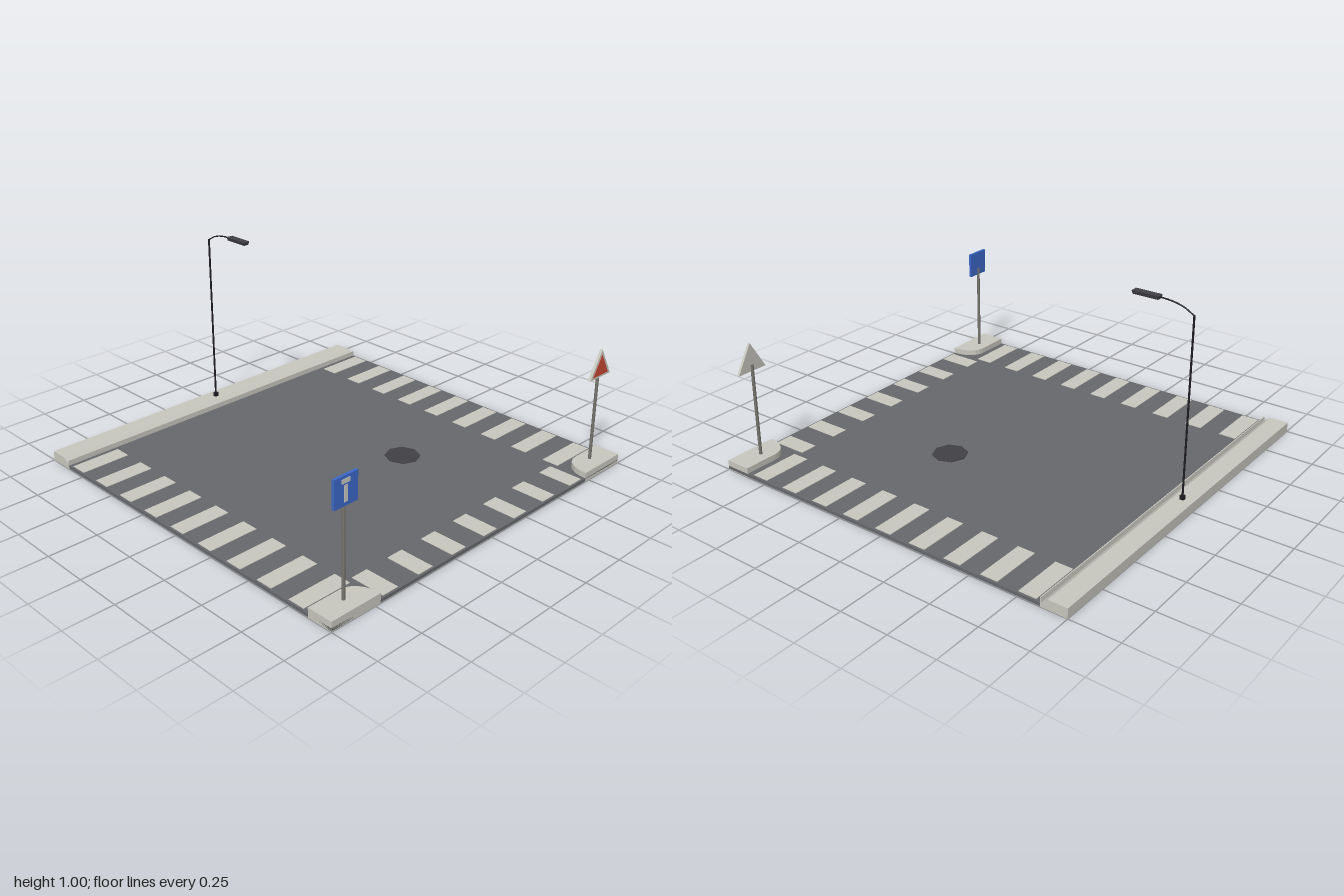
import * as THREE from 'three';

const mat = (name, color, side = THREE.FrontSide) => {
  const m = new THREE.MeshStandardMaterial({ color, side });
  m.name = name;
  return m;
};

export function createModel() {
  const root = new THREE.Group();
  root.name = 'streetCrossing';
  const concrete = mat('concrete', 0xc8c7be, THREE.DoubleSide);
  const asphalt = mat('asphalt', 0x67686c);
  const darkGrey = mat('darkGrey', 0x414045);
  const black = mat('black', 0x1f1d23);
  const steel = mat('steel', 0x77756e);
  const blue = mat('blue', 0x3c68c8);
  const red = mat('red', 0xc64634);

  const add = (name, geo, material, x = 0, y = 0, z = 0) => {
    const m = new THREE.Mesh(geo, material);
    m.name = name;
    m.position.set(x, y, z);
    root.add(m);
    return m;
  };
  const box = (name, material, w, h, d, x, y, z) =>
    add(name, new THREE.BoxGeometry(w, h, d), material, x, y, z);
  const rod = (name, material, r, y0, y1, x, z, sides = 8) =>
    add(name, new THREE.CylinderGeometry(r, r, y1 - y0, sides), material, x, (y0 + y1) / 2, z);

  // Road slab and painted crossings
  box('road', asphalt, 2, 0.016, 1.865, 0, 0.012, 0.0675);
  for (const s of [-1, 1])
    for (let i = 0; i < 9; i++)
      box('sideCrossingStripe', concrete, 0.262, 0.003, 0.09, s * 0.859, 0.0213, -0.795 + i * 0.1975);
  for (let i = -3; i <= 3; i++)
    box('frontCrossingStripe', concrete, 0.09, 0.003, 0.18, i * 0.217, 0.0213, 0.9);

  // Manhole cover
  add('manholeCover', new THREE.CylinderGeometry(0.09, 0.09, 0.004, 8), darkGrey, 0.26, 0.0215, 0.218);

  // Rear pavement: a shell, open underneath, with a gutter behind the kerb lip
  const profile = [[-1, 0], [-1, 0.05], [-0.903, 0.05], [-0.872, 0.024], [-0.87, 0.047], [-0.865, 0.047], [-0.865, 0]];
  const pos = [];
  for (let i = 0; i < profile.length - 1; i++) {
    const [za, ya] = profile[i], [zb, yb] = profile[i + 1];
    pos.push(-1, ya, za, 1, yb, zb, 1, ya, za, -1, ya, za, -1, yb, zb, 1, yb, zb);
  }
  const shell = new THREE.BufferGeometry();
  shell.setAttribute('position', new THREE.Float32BufferAttribute(pos, 3));
  shell.computeVertexNormals();
  add('rearPavement', shell, concrete);
  const endShape = new THREE.Shape(profile.map(([z, y]) => new THREE.Vector2(z, y)));
  for (const s of [-1, 1]) {
    // turn the profile so its horizontal axis lies along z, facing outward
    const end = new THREE.ShapeGeometry(s < 0
      ? endShape
      : new THREE.Shape(profile.map(([z, y]) => new THREE.Vector2(-z, y))));
    end.rotateY(s * Math.PI / 2);
    add('rearPavementEnd', end, concrete, s, 0, 0);
  }

  // Rounded front corner pavements
  for (const s of [-1, 1]) {
    const c = new THREE.Shape();
    c.moveTo(s, -1);
    c.lineTo(s, -0.865);
    c.lineTo(s * 0.82, -0.865);
    c.bezierCurveTo(s * 0.765, -0.865, s * 0.72, -0.92, s * 0.72, -1);
    const g = new THREE.ExtrudeGeometry(c, { depth: 0.05, bevelEnabled: false, curveSegments: 6 });
    g.rotateX(-Math.PI / 2);
    add('cornerPavement', g, concrete);
    rod('signPost', steel, 0.008, 0.05, 0.53, s * 0.86, 0.925);
  }

  // Square sign with a pale pictogram
  box('squareSign', blue, 0.13, 0.134, 0.014, -0.86, 0.558, 0.932);
  box('signBar', concrete, 0.046, 0.02, 0.003, -0.862, 0.602, 0.94);
  box('signStem', concrete, 0.02, 0.074, 0.003, -0.862, 0.547, 0.94);

  // Triangular warning sign
  const triangle = (w, h, depth) => {
    const t = new THREE.Shape();
    t.moveTo(-w / 2, 0);
    t.lineTo(w / 2, 0);
    t.lineTo(0, h);
    return new THREE.ExtrudeGeometry(t, { depth, bevelEnabled: false });
  };
  add('triangleSign', triangle(0.165, 0.143, 0.014), concrete, 0.86, 0.496, 0.925);
  add('triangleSignFace', triangle(0.122, 0.104, 0.003), red, 0.86, 0.508, 0.938);

  // Street lamp
  const lz = -0.945;
  box('lampBase', black, 0.02, 0.022, 0.02, 0, 0.06, lz);
  rod('lampPole', black, 0.005, 0.05, 0.952, 0, lz);
  const arm = new THREE.CatmullRomCurve3([
    [0.95, lz], [0.978, -0.895], [0.993, -0.835], [0.998, -0.76],
  ].map(([y, z]) => new THREE.Vector3(0, y, z)));
  add('lampArm', new THREE.TubeGeometry(arm, 8, 0.0035, 6), black);

  // Lamp head, narrower underneath
  const head = new THREE.BoxGeometry(0.038, 0.018, 0.135);
  const p = head.attributes.position;
  for (let i = 0; i < p.count; i++)
    if (p.getY(i) < 0) {
      p.setX(i, p.getX(i) * 0.7);
      p.setZ(i, p.getZ(i) * 0.95);
    }
  head.computeVertexNormals();
  add('lampHead', head, darkGrey, 0, 0.996, -0.708);

  return root;
}
